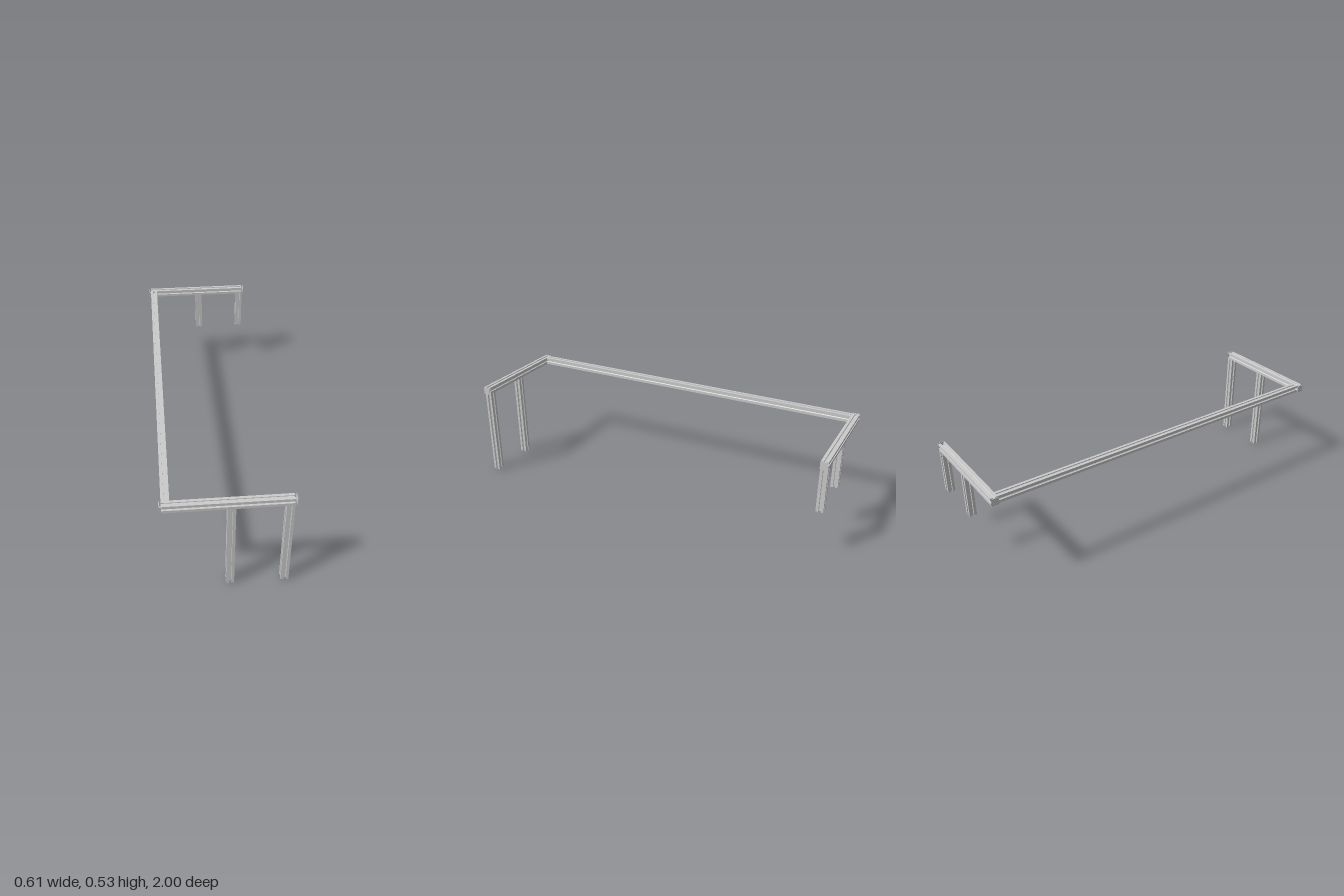
import * as THREE from 'three';

const S = 0.0385;        // beam section size
const H = S / 2;
const TOP = 0.53;        // top of the frame
const BAR_Y = TOP - H;   // beam centre height
const END_Z = 1 - H;     // centre of the cross beams
const BAR_X = 0.295;     // half length of the cross beams

const material = new THREE.MeshStandardMaterial({ color: 0xcccccc, flatShading: true });

// Square section with a T-slot in each side and a round core hole
function beamSection() {
  const side = [
    [H, H], [0.0053, H], [0.0053, 0.0153], [0.01, 0.0153], [0.01, 0.0125], [0.005, 0.0075],
    [-0.005, 0.0075], [-0.01, 0.0125], [-0.01, 0.0153], [-0.0053, 0.0153], [-0.0053, H],
  ];
  const points = [];
  for (let i = 0; i < 4; i++) {
    for (const [x, y] of side) {
      points.push(new THREE.Vector2(x, y).rotateAround(new THREE.Vector2(), i * Math.PI / 2));
    }
  }
  const shape = new THREE.Shape(points);
  shape.holes.push(new THREE.Path().absarc(0, 0, 0.0035, 0, Math.PI * 2, true));
  return shape;
}

// Slotted beam centred on its position, running along the given axis
function beam(name, length, axis, x, y, z) {
  const geometry = new THREE.ExtrudeGeometry(beamSection(), {
    depth: length, bevelEnabled: false, curveSegments: 8,
  });
  geometry.translate(0, 0, -length / 2);
  if (axis === 'x') geometry.rotateY(Math.PI / 2);
  if (axis === 'y') geometry.rotateX(-Math.PI / 2);
  const mesh = new THREE.Mesh(geometry, material);
  mesh.name = name;
  mesh.position.set(x, y, z);
  return mesh;
}

// Thin square cover held off the beam end by a short round plug
function endCap(name, side, z) {
  const cap = new THREE.Group();
  cap.name = name;
  const plate = new THREE.Mesh(new THREE.BoxGeometry(0.0025, S, S), material);
  plate.name = 'capPlate';
  plate.position.x = side * 0.0085;
  const plug = new THREE.Mesh(new THREE.CylinderGeometry(0.0045, 0.0045, 0.009, 12), material);
  plug.name = 'capPlug';
  plug.rotation.z = Math.PI / 2;
  plug.position.x = side * 0.0035;
  cap.add(plate, plug);
  cap.position.set(side * BAR_X, BAR_Y, z);
  return cap;
}

export function createModel() {
  const model = new THREE.Group();
  model.name = 'slottedBeamFrame';

  // Long beam between the two cross beams
  model.add(beam('longBeam', 2 - 2 * S, 'z', -BAR_X + H, BAR_Y, 0));

  // Cross beam, caps and two legs at each end; the back legs are shorter
  const ends = [
    { name: 'front', z: END_Z, foot: 0 },
    { name: 'back', z: -END_Z, foot: 0.255 },
  ];
  for (const { name, z, foot } of ends) {
    model.add(beam(name + 'CrossBeam', 2 * BAR_X, 'x', 0, BAR_Y, z));
    model.add(endCap(name + 'LeftCap', 1, z), endCap(name + 'RightCap', -1, z));
    const length = TOP - S - foot;
    model.add(beam(name + 'OuterLeg', length, 'y', BAR_X - H, foot + length / 2, z));
    model.add(beam(name + 'InnerLeg', length, 'y', 0.014, foot + length / 2, z));
  }
  return model;
}
